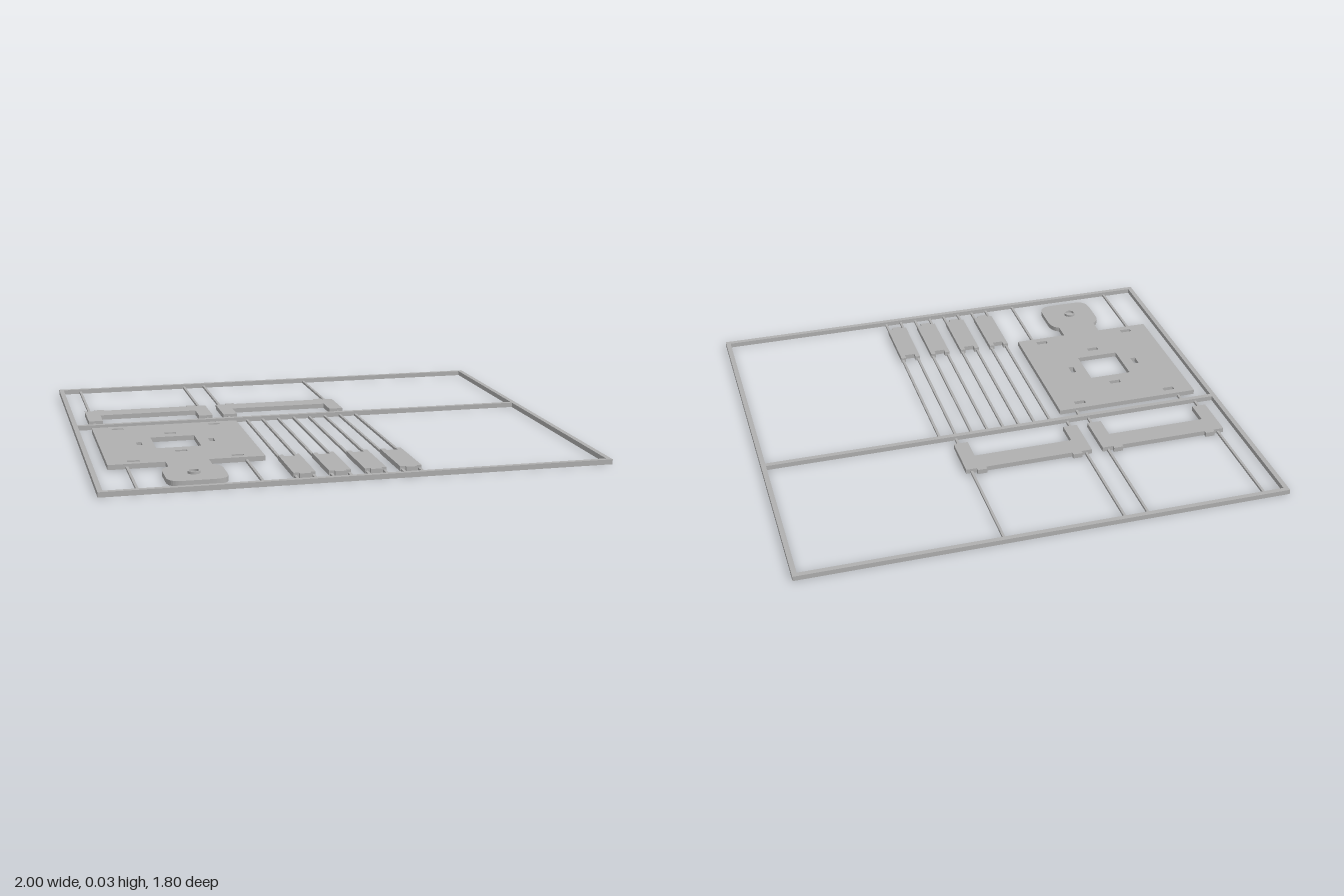
import * as THREE from 'three';

const T = 0.02; // sheet thickness

export function createModel() {
  const model = new THREE.Group();
  model.name = 'partsFrame';
  const grey = new THREE.MeshStandardMaterial({ color: 0xb0b0b0 });
  grey.name = 'plastic grey';

  const add = (name, geometry, parent = model) => {
    const mesh = new THREE.Mesh(geometry, grey);
    mesh.name = name;
    parent.add(mesh);
    return mesh;
  };
  // Box standing on the ground, given by its x and z limits
  const slab = (name, x0, x1, z0, z1, h = T) =>
    add(name, new THREE.BoxGeometry(x1 - x0, h, z1 - z0))
      .position.set((x0 + x1) / 2, h / 2, (z0 + z1) / 2);
  // Flat part from an outline drawn in (x, -z)
  const sheet = (shape) => new THREE.ExtrudeGeometry(shape, { depth: T, bevelEnabled: false, curveSegments: 10 })
    .rotateX(-Math.PI / 2);
  const outline = (pts) => new THREE.Shape(pts.map(([x, z]) => new THREE.Vector2(x, -z)));
  const runner = (x, z0, z1) => slab('runner', x - 0.005, x + 0.005, z0, z1, 0.01);

  // Outer frame and cross bar
  slab('frameBack', -1, 1, -0.9, -0.88);
  slab('frameFront', -1, 1, 0.88, 0.9);
  slab('frameRight', -1, -0.98, -0.88, 0.88);
  slab('frameLeft', 0.98, 1, -0.88, 0.88);
  slab('crossBar', -0.98, 0.98, -0.16, -0.14);

  // Two U-shaped brackets with locating tabs
  for (const cx of [-0.655, -0.067]) {
    const half = [[0.27, -0.215], [0.27, -0.41], [0.225, -0.41], [0.225, -0.425], [0.185, -0.425], [0.185, -0.41]];
    const inner = [[0.21, -0.32], [0.21, -0.215]];
    const right = [...inner, ...half];
    const left = right.map(([x, z]) => [-x, z]).reverse();
    add('bracket', sheet(outline([...right, ...left]))).position.x = cx;
    for (const s of [-1, 1]) {
      runner(cx + s * 0.246, -0.88, -0.41);
      runner(cx + s * 0.246, -0.215, -0.16);
    }
  }

  // Square plate with a rounded tongue
  const px = -0.615, pz = 0.222;
  const plate = new THREE.Shape();
  plate.moveTo(-0.31, 0.09);
  plate.lineTo(-0.31, -0.53);
  plate.lineTo(-0.085, -0.53);
  plate.lineTo(-0.085, -0.605);
  plate.quadraticCurveTo(-0.118, -0.62, -0.118, -0.67);
  plate.lineTo(-0.118, -0.75);
  plate.bezierCurveTo(-0.118, -0.8, -0.105, -0.82, -0.05, -0.82);
  plate.lineTo(0.05, -0.82);
  plate.bezierCurveTo(0.105, -0.82, 0.118, -0.8, 0.118, -0.75);
  plate.lineTo(0.118, -0.67);
  plate.quadraticCurveTo(0.118, -0.62, 0.085, -0.605);
  plate.lineTo(0.085, -0.53);
  plate.lineTo(0.31, -0.53);
  plate.lineTo(0.31, 0.09);
  plate.closePath();
  const cut = (x, z, w, d) => plate.holes.push(new THREE.Path(
    [[-1, -1], [-1, 1], [1, 1], [1, -1]].map(([i, j]) => new THREE.Vector2(x + i * w / 2, -z + j * d / 2))));
  cut(0, pz, 0.182, 0.182);
  for (const s of [-1, 1]) {
    cut(0, pz + s * 0.15, 0.048, 0.022);
    cut(s * 0.149, pz, 0.022, 0.048);
    for (const t of [-1, 1]) cut(s * 0.206, pz + t * 0.27, 0.048, 0.022);
    runner(px + s * 0.235, -0.14, -0.09);
    runner(px + s * 0.235, 0.53, 0.88);
  }
  add('plate', sheet(plate)).position.x = px;

  // Raised ring on the tongue
  const ring = new THREE.Shape().absarc(0, 0, 0.025, 0, Math.PI * 2);
  ring.holes.push(new THREE.Path().absarc(0, 0, 0.019, 0, Math.PI * 2, true));
  add('ring', new THREE.ExtrudeGeometry(ring, { depth: 0.01, bevelEnabled: false, curveSegments: 24 })
    .rotateX(-Math.PI / 2)).position.set(-0.619, T, 0.715);

  // Four notched clips
  for (const cx of [-0.212, -0.073, 0.067, 0.207]) {
    add('clip', sheet(outline([
      [-0.043, 0.53], [-0.043, 0.805], [-0.022, 0.805], [-0.022, 0.82], [0.022, 0.82], [0.022, 0.805],
      [0.043, 0.805], [0.043, 0.53], [0.022, 0.53], [0.022, 0.555], [-0.022, 0.555], [-0.022, 0.53],
    ]))).position.x = cx;
    for (const s of [-1, 1]) {
      runner(cx + s * 0.035, -0.14, 0.53);
      runner(cx + s * 0.035, 0.805, 0.88);
    }
  }
  return model;
}
